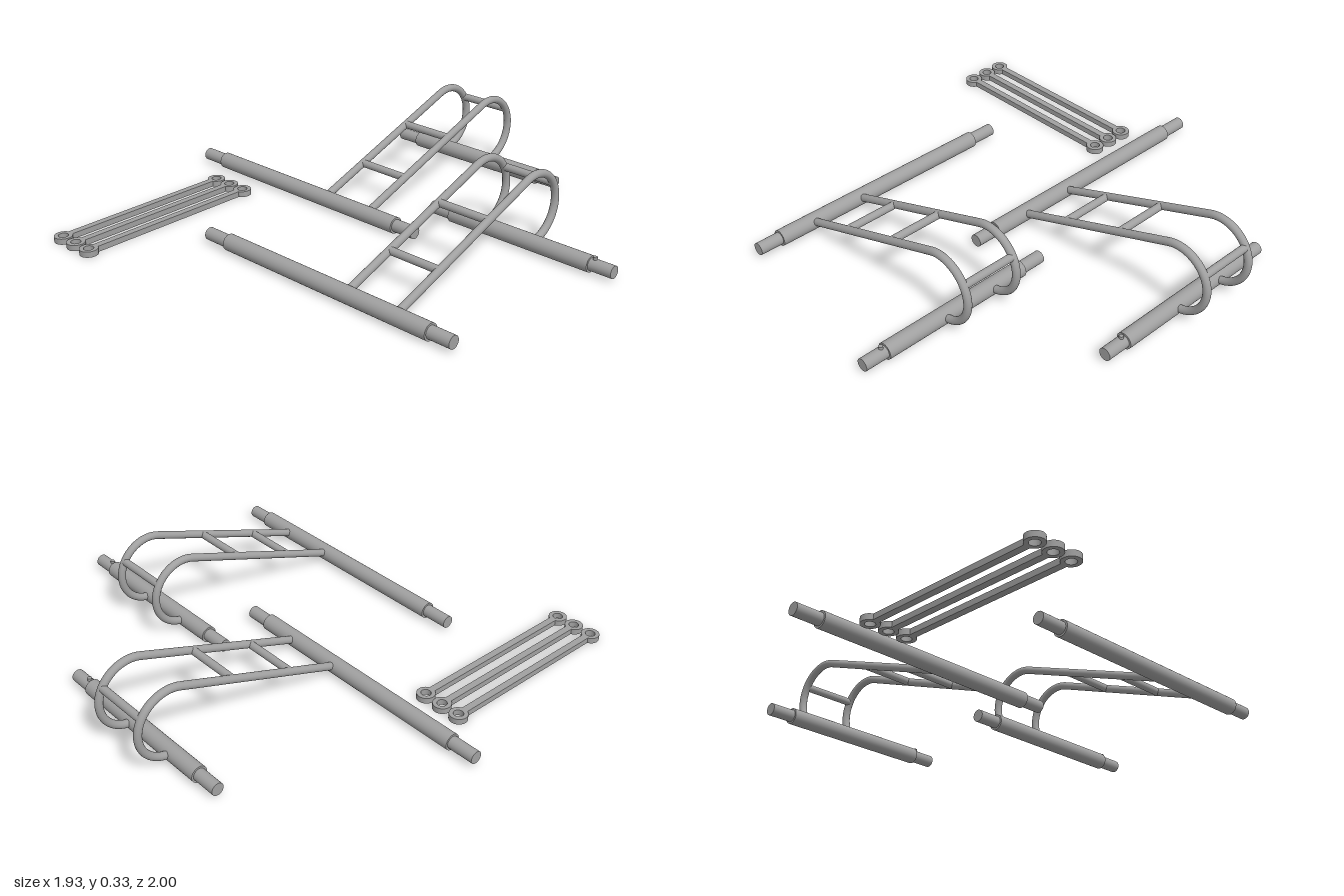
import * as THREE from 'three';

const AXLE_Y = 0.035;   // height of both cross tubes
const SPAN = 0.796;     // distance between the cross tubes
const BEND = 0.141;     // radius of the rail hook
const BEND_Y = AXLE_Y + BEND + 0.002;
const RAIL_R = 0.016;

const steel = new THREE.MeshStandardMaterial({ color: 0xa0a0a0 });
steel.name = 'steelGrey';

function add(parent, geometry, name, x = 0, y = 0, z = 0) {
  const mesh = new THREE.Mesh(geometry, steel);
  mesh.name = name;
  mesh.position.set(x, y, z);
  parent.add(mesh);
  return mesh;
}

// Round bar along z between two depths
function rod(parent, name, r, x, y, z0, z1) {
  const geometry = new THREE.CylinderGeometry(r, r, z1 - z0, 32).rotateX(Math.PI / 2);
  return add(parent, geometry, name, x, y, (z0 + z1) / 2);
}

// Cross tube: thick sleeve with a thinner spigot at each end
function crossTube(parent, name, x, z0, sleeve0, sleeve1, z1) {
  const group = new THREE.Group();
  group.name = name;
  rod(group, 'sleeve', 0.034, x, AXLE_Y, sleeve0, sleeve1);
  rod(group, 'backSpigot', 0.026, x, AXLE_Y, z0, sleeve0);
  rod(group, 'frontSpigot', 0.026, x, AXLE_Y, sleeve1, z1);
  parent.add(group);
  return group;
}

// Rail path: straight slope, tangent to a hook that comes down on the short tube
const toCentre = new THREE.Vector2(SPAN, BEND_Y - AXLE_Y);
const slope = toCentre.angle() + Math.asin(BEND / toCentre.length());

class HookCurve extends THREE.Curve {
  getPoint(t, target = new THREE.Vector3()) {
    const a = slope + Math.PI / 2 - t * (slope + Math.PI);
    return target.set(SPAN + BEND * Math.cos(a), BEND_Y + BEND * Math.sin(a), 0);
  }
}

function rail(parent, z) {
  const group = new THREE.Group();
  group.name = 'rail';
  group.position.z = z;
  const hook = new HookCurve();
  const line = new THREE.LineCurve3(new THREE.Vector3(0, AXLE_Y, 0), hook.getPoint(0));
  add(group, new THREE.TubeGeometry(line, 1, RAIL_R, 20), 'slopedRail');
  add(group, new THREE.TubeGeometry(hook, 48, RAIL_R, 20), 'hook');
  parent.add(group);
}

function rack(x, z) {
  const group = new THREE.Group();
  group.name = 'rack';
  group.position.set(x, 0, z);
  crossTube(group, 'longTube', 0, -0.855, -0.74, 0.282, 0.383);
  const short = crossTube(group, 'shortTube', SPAN, -0.379, -0.275, 0.393, 0.494);
  // Spring button on the front spigot
  add(short, new THREE.CylinderGeometry(0.009, 0.009, 0.02, 16), 'lockButton', SPAN, AXLE_Y + 0.026, 0.409);

  for (const side of [-1, 1]) rail(group, side * 0.119);

  // Rungs: two on the slope, one inside the hook
  const hookX = 0.917 - SPAN;
  const rungs = [
    [0.237, AXLE_Y + 0.237 * Math.tan(slope)],
    [0.513, AXLE_Y + 0.513 * Math.tan(slope)],
    [0.917, BEND_Y + Math.sqrt(BEND * BEND - hookX * hookX)],
  ];
  for (const [rx, ry] of rungs) rod(group, 'rung', RAIL_R, rx, ry, -0.119, 0.119);
  return group;
}

// Flat link with a ring at each end
function linkBar(z) {
  const half = 0.396, outer = 0.037, inner = 0.02, halfWidth = 0.0145;
  const a = Math.asin(halfWidth / outer);
  const shape = new THREE.Shape();
  shape.absarc(half, 0, outer, -Math.PI + a, Math.PI - a, false);
  shape.absarc(-half, 0, outer, a, Math.PI * 2 - a, false);
  shape.closePath();
  for (const side of [-1, 1]) {
    shape.holes.push(new THREE.Path().absarc(side * half, 0, inner, 0, Math.PI * 2, true));
  }
  const geometry = new THREE.ExtrudeGeometry(shape, { depth: 0.024, bevelEnabled: false, curveSegments: 32 });
  geometry.rotateX(-Math.PI / 2);
  const mesh = new THREE.Mesh(geometry, steel);
  mesh.name = 'linkBar';
  mesh.position.set(-0.535, 0, z);
  return mesh;
}

export function createModel() {
  const model = new THREE.Group();
  model.name = 'rackSet';
  model.add(rack(0.012, -0.145), rack(-0.54, 0.506));
  for (const z of [-0.778, -0.694, -0.61]) model.add(linkBar(z));
  return model;
}
